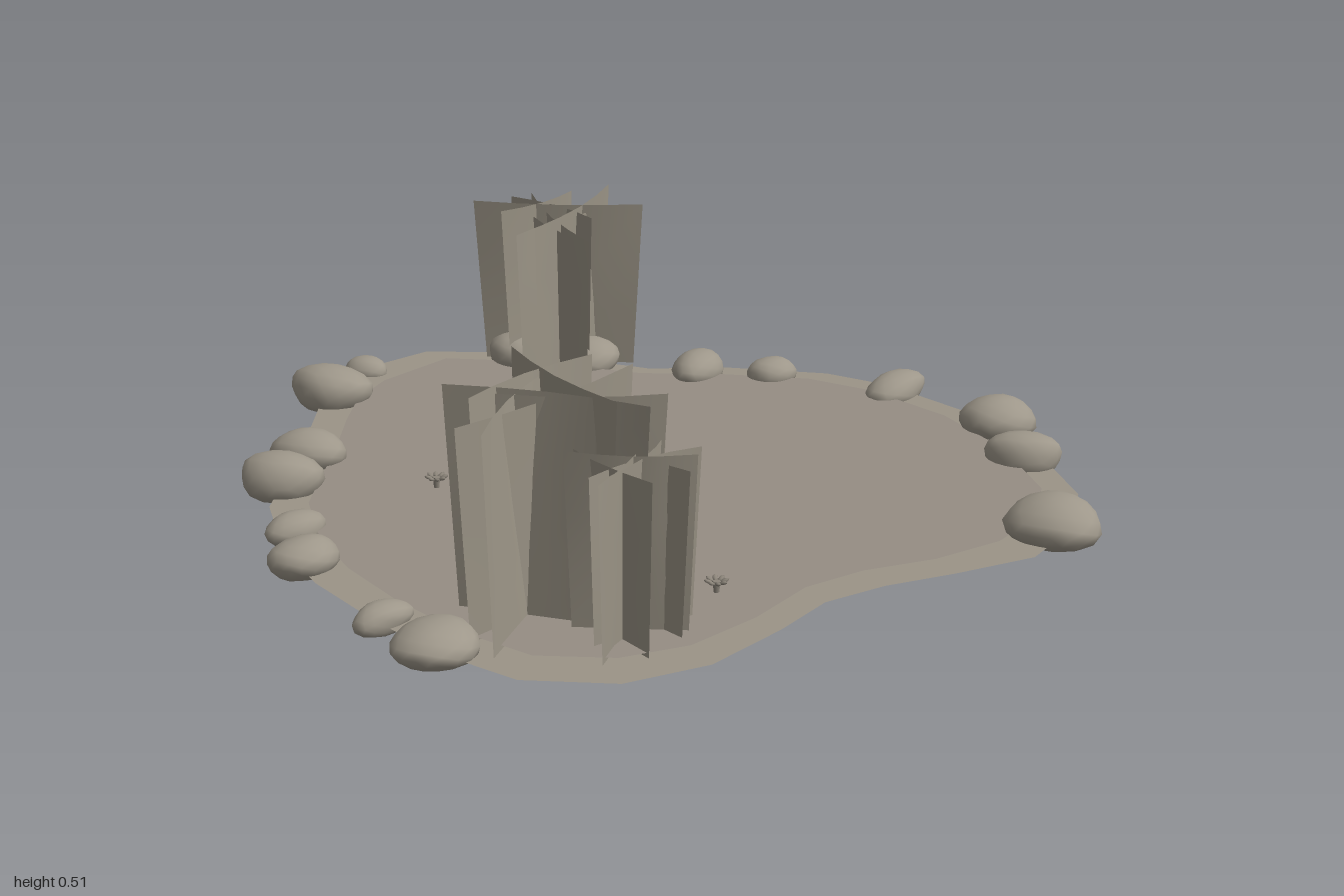
import * as THREE from 'three';
import { mergeVertices } from 'three/addons/utils/BufferGeometryUtils.js';

const mat = (name, color, side = THREE.FrontSide) => {
  const m = new THREE.MeshStandardMaterial({ color, side });
  m.name = name;
  return m;
};

// Shore outline and water outline as [x, z]
const SHORE = [
  [0.05, -0.92], [0.24, -0.965], [0.43, -0.92], [0.52, -0.79], [0.6, -0.62], [0.66, -0.4], [0.78, -0.25],
  [0.89, -0.03], [0.91, 0.13], [0.86, 0.4], [0.75, 0.62], [0.57, 0.83], [0.4, 0.91], [0.21, 0.92],
  [0.04, 0.83], [-0.1, 0.745], [-0.24, 0.69], [-0.4, 0.69], [-0.61, 0.67], [-0.78, 0.58],
  [-0.885, 0.41], [-0.885, 0.2], [-0.84, 0], [-0.78, -0.2], [-0.7, -0.36], [-0.54, -0.55],
  [-0.42, -0.62], [-0.3, -0.69], [-0.1, -0.82],
];
const WATER = [
  [0.06, -0.82], [0.19, -0.85], [0.4, -0.83], [0.47, -0.71], [0.54, -0.55], [0.6, -0.38], [0.71, -0.22],
  [0.81, -0.03], [0.83, 0.13], [0.79, 0.36], [0.69, 0.57], [0.53, 0.76], [0.38, 0.83], [0.22, 0.83],
  [0.06, 0.77], [-0.08, 0.68], [-0.22, 0.63], [-0.4, 0.63], [-0.58, 0.6], [-0.71, 0.52],
  [-0.8, 0.38], [-0.8, 0.2], [-0.76, 0], [-0.7, -0.18], [-0.62, -0.33], [-0.49, -0.48],
  [-0.36, -0.56], [-0.24, -0.63], [-0.06, -0.75],
];

// Flat sheet facing up
function sheet(points, y) {
  const shape = new THREE.Shape(points.map(([x, z]) => new THREE.Vector2(x, -z)));
  return new THREE.ShapeGeometry(shape).rotateX(-Math.PI / 2).translate(0, y, 0);
}

// Rounded stone: a lumpy, smooth-shaded ball with a flattened base
function stone(rx, rz, h, seed) {
  let g = new THREE.IcosahedronGeometry(1, 2);
  g.deleteAttribute('normal');
  g.deleteAttribute('uv');
  g = mergeVertices(g, 1e-4);
  const p = g.attributes.position;
  for (let i = 0; i < p.count; i++) {
    const x = p.getX(i), y = p.getY(i), z = p.getZ(i);
    const k = 1 + 0.07 * Math.sin(2.3 * x + seed) + 0.06 * Math.sin(2.9 * z + 1.7 * seed)
      + 0.05 * Math.sin(3 * y + 2 * x + seed * 2.1);
    p.setXYZ(i, x * k * rx, Math.max(0, h * (0.42 + 0.58 * y)), z * k * rz);
  }
  g.computeVertexNormals();
  return g;
}

// Upright reed card between two ground points, slightly bowed and narrower at the foot
function card([x0, z0, x1, z1, top], cx, cz, bow) {
  const g = new THREE.PlaneGeometry(1, 1, 4, 3);
  const p = g.attributes.position;
  const dx = x1 - x0, dz = z1 - z0, len = Math.hypot(dx, dz);
  for (let i = 0; i < p.count; i++) {
    const u = p.getX(i) + 0.5, v = p.getY(i) + 0.5;
    const s = 0.88 + 0.12 * v;
    const b = bow * Math.sin(u * Math.PI) * v;
    const x = x0 + dx * u - (dz / len) * b, z = z0 + dz * u + (dx / len) * b;
    p.setXYZ(i, cx + (x - cx) * s, 0.012 + (top - 0.012) * v, cz + (z - cz) * s);
  }
  g.computeVertexNormals();
  return g;
}

export function createModel() {
  const group = new THREE.Group();
  const earth = mat('bank earth', 0x9b9487, THREE.DoubleSide);
  const water = mat('pond water', 0x968d84, THREE.DoubleSide);
  const rock = mat('stone', 0x9e978a);
  const reed = mat('reed', 0x9b9486, THREE.DoubleSide);
  const bloom = mat('blossom', 0x8c857a, THREE.DoubleSide);
  const add = (name, geo, m, parent = group) => {
    const mesh = new THREE.Mesh(geo, m);
    mesh.name = name;
    parent.add(mesh);
    return mesh;
  };

  add('bank', sheet(SHORE, 0.018), earth);
  add('waterSurface', sheet(WATER, 0.028), water);

  // Stones around the shore: x, z, half width, half depth, height, turn
  const stones = [
    [0.035, -0.895, 0.082, 0.104, 0.1, 0.1], [0.235, -0.945, 0.045, 0.052, 0.055, 0.2],
    [-0.28, -0.67, 0.07, 0.09, 0.09, 0.4], [-0.445, -0.6, 0.078, 0.098, 0.1, 0.3],
    [-0.61, -0.41, 0.072, 0.048, 0.065, -0.3], [-0.72, -0.275, 0.085, 0.062, 0.08, -0.1],
    [-0.84, 0.03, 0.065, 0.047, 0.06, -0.2], [-0.88, 0.205, 0.098, 0.08, 0.08, 0.1],
    [0.525, -0.69, 0.08, 0.09, 0.09, -0.3], [0.6, -0.55, 0.085, 0.092, 0.085, -0.2],
    [0.69, -0.28, 0.083, 0.06, 0.08, 0.2], [0.785, -0.12, 0.07, 0.05, 0.07, -0.2],
    [0.88, 0.175, 0.086, 0.06, 0.07, -0.1], [0.805, 0.49, 0.093, 0.08, 0.1, -0.4],
    [0.66, 0.64, 0.062, 0.088, 0.09, 0.5], [0.35, 0.89, 0.097, 0.1, 0.105, 0.2],
  ];
  const stoneRing = new THREE.Group();
  stoneRing.name = 'shoreStones';
  group.add(stoneRing);
  stones.forEach(([x, z, rx, rz, h, turn], i) => {
    const s = add('stone', stone(rx, rz, h, i * 1.9), rock, stoneRing);
    s.position.set(x, 0, z);
    s.rotation.y = turn;
  });

  // Reed clumps made of crossed cards: x0, z0, x1, z1, top
  const clumps = [
    ['tallReeds', -0.61, 0.29, [
      [-0.72, 0.1, -0.58, 0.5, 0.5], [-0.49, 0.09, -0.62, 0.45, 0.51], [-0.87, 0.32, -0.5, 0.2, 0.49],
      [-0.84, 0.23, -0.35, 0.29, 0.475], [-0.76, 0.2, -0.42, 0.24, 0.505], [-0.68, 0.2, -0.48, 0.47, 0.49]]],
    ['shortReeds', -0.59, 0.46, [
      [-0.67, 0.57, -0.58, 0.26, 0.39], [-0.76, 0.51, -0.44, 0.4, 0.4], [-0.71, 0.45, -0.45, 0.53, 0.385],
      [-0.66, 0.35, -0.52, 0.57, 0.4], [-0.56, 0.58, -0.5, 0.28, 0.38], [-0.73, 0.49, -0.46, 0.45, 0.395]]],
    ['backReeds', 0.58, -0.59, [
      [0.37, -0.58, 0.7, -0.53, 0.4], [0.39, -0.54, 0.79, -0.62, 0.42], [0.43, -0.41, 0.67, -0.77, 0.4],
      [0.48, -0.8, 0.7, -0.45, 0.42], [0.59, -0.77, 0.56, -0.5, 0.41], [0.45, -0.69, 0.69, -0.66, 0.42],
      [0.44, -0.42, 0.61, -0.77, 0.39]]],
  ];
  for (const [name, cx, cz, cards] of clumps) {
    const clump = new THREE.Group();
    clump.name = name;
    group.add(clump);
    cards.forEach((c, i) => add('reedCard', card(c, cx, cz, i % 2 ? 0.02 : -0.02), reed, clump));
  }

  // Small water blossoms: a core with a ring of raised petals
  for (const [x, z] of [[-0.26, -0.31], [0.055, -0.33], [-0.35, 0.5]]) {
    const flower = new THREE.Group();
    flower.name = 'waterBlossom';
    flower.position.set(x, 0.03, z);
    group.add(flower);
    add('core', new THREE.CylinderGeometry(0.008, 0.006, 0.024, 8).translate(0, 0.012, 0), bloom, flower);
    for (let i = 0; i < 8; i++) {
      const petal = new THREE.SphereGeometry(1, 6, 4).scale(0.01, 0.004, 0.006);
      petal.rotateZ(0.4).translate(0.017, 0.024, 0).rotateY((i * Math.PI) / 4);
      add('petal', petal, bloom, flower);
    }
  }
  return group;
}
